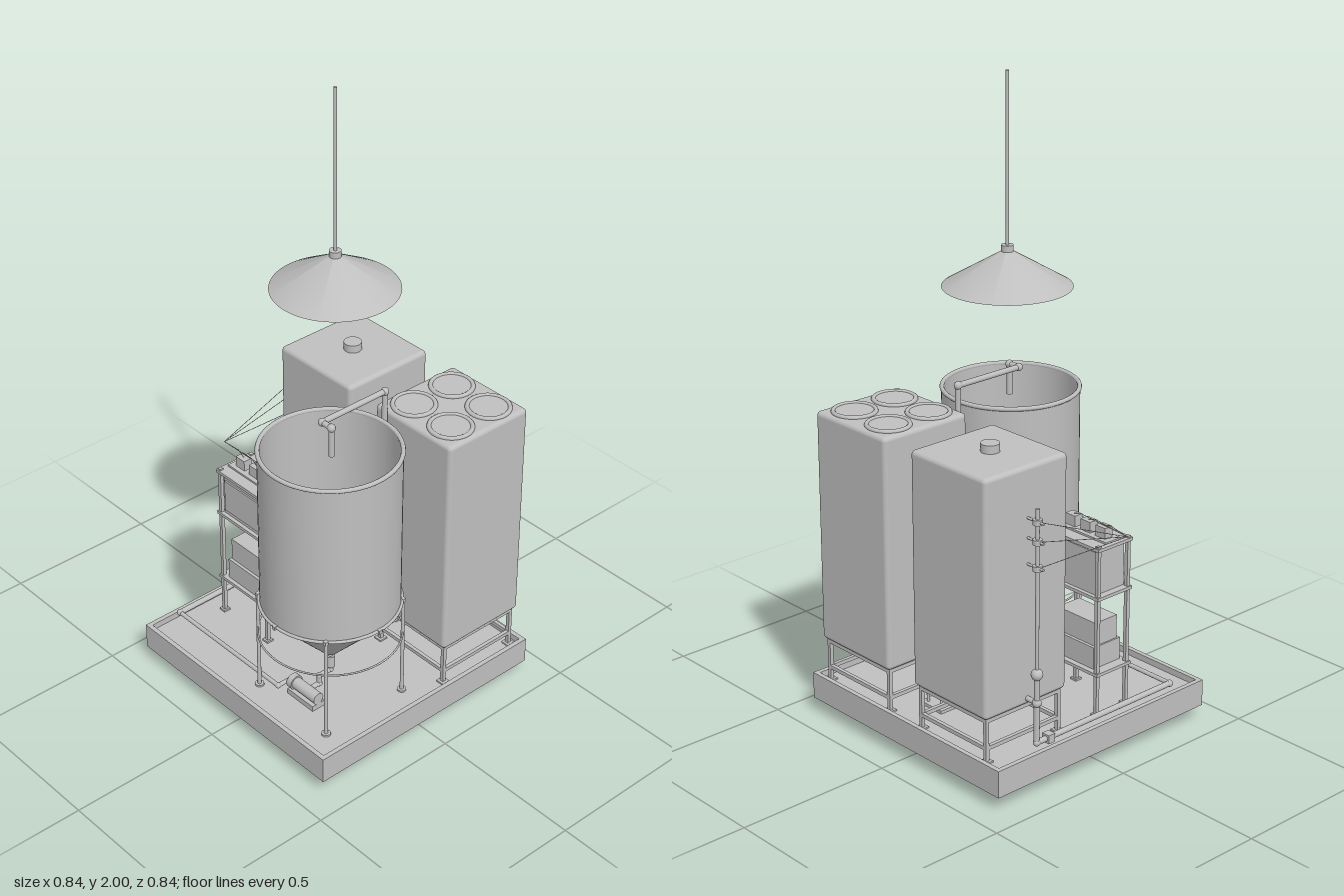
import * as THREE from 'three';
import { toCreasedNormals } from 'three/addons/utils/BufferGeometryUtils.js';
import { RoundedBoxGeometry } from 'three/addons/geometries/RoundedBoxGeometry.js';

const grey = new THREE.MeshStandardMaterial({ color: 0xbfbfbf, side: THREE.DoubleSide });
grey.name = 'plain grey';

const FLOOR = 0.11;

export function createModel() {
  const model = new THREE.Group();
  model.name = 'brewingPlant';

  const add = (name, geometry, x = 0, y = 0, z = 0) => {
    const mesh = new THREE.Mesh(geometry, grey);
    mesh.name = name;
    mesh.position.set(x, y, z);
    model.add(mesh);
    return mesh;
  };
  // box given by its lowest and highest corners
  const box = (name, x0, x1, y0, y1, z0, z1) =>
    add(name, new THREE.BoxGeometry(x1 - x0, y1 - y0, z1 - z0), (x0 + x1) / 2, (y0 + y1) / 2, (z0 + z1) / 2);
  // upright cylinder between two heights
  const post = (name, x, z, y0, y1, r, r2 = r, sides = 24) =>
    add(name, new THREE.CylinderGeometry(r2, r, y1 - y0, sides), x, (y0 + y1) / 2, z);
  const lathe = (name, points, x, z) =>
    add(name, toCreasedNormals(new THREE.LatheGeometry(points.map(p => new THREE.Vector2(...p)), 64), 0.5), x, 0, z);
  const ring = (name, R, r, x, y, z) =>
    add(name, new THREE.TorusGeometry(R, r, 10, 64).rotateX(Math.PI / 2), x, y, z);
  // straight pipe runs with a ball joint at every bend
  const pipe = (name, r, points, joint = 1.25) => {
    const v = points.map(p => new THREE.Vector3(...p));
    for (let i = 0; i + 1 < v.length; i++) {
      const dir = v[i + 1].clone().sub(v[i]);
      const mesh = add(name, new THREE.CylinderGeometry(r, r, dir.length(), 12));
      mesh.position.copy(v[i]).addScaledVector(dir, 0.5);
      mesh.quaternion.setFromUnitVectors(new THREE.Vector3(0, 1, 0), dir.normalize());
      if (i > 0) add(name + 'Elbow', new THREE.SphereGeometry(r * joint, 12, 8), ...points[i]);
    }
  };

  // base tray with raised rim, standing on two rows of blocks
  box('baseSlab', -0.42, 0.42, 0.045, FLOOR, -0.42, 0.42);
  for (const s of [-1, 1]) {
    box('trayRim', -0.42, 0.42, FLOOR, 0.13, s * 0.4125 - 0.0075, s * 0.4125 + 0.0075);
    box('trayRim', s * 0.4125 - 0.0075, s * 0.4125 + 0.0075, FLOOR, 0.13, -0.405, 0.405);
    for (let i = -2; i <= 2; i++)
      box('foot', i * 0.14 - 0.03, i * 0.14 + 0.03, 0, 0.045, s * 0.28 - 0.02, s * 0.28 + 0.02);
  }

  // two tall square tanks on open stands
  for (const [name, cx] of [['plainTank', -0.188], ['fourLidTank', 0.238]]) {
    const cz = -0.243, h = 0.14, t = 0.006;
    add(name, new RoundedBoxGeometry(0.315, 0.735, 0.315, 4, 0.014), cx, 0.6175, cz);
    for (const s of [-1, 1]) {
      for (const q of [-1, 1]) {
        box('standLeg', cx + s * h - t, cx + s * h + t, FLOOR, 0.26, cz + q * h - t, cz + q * h + t);
        box('standFoot', cx + s * h - 0.014, cx + s * h + 0.014, FLOOR, FLOOR + 0.005, cz + q * h - 0.014, cz + q * h + 0.014);
      }
      for (const y of [0.155, 0.242]) {
        box('standRail', cx - h, cx + h, y - t, y + t, cz + s * h - t, cz + s * h + t);
        box('standRail', cx + s * h - t, cx + s * h + t, y - t, y + t, cz - h, cz + h);
      }
    }
  }
  post('fillerCap', -0.19, -0.24, 0.98, 1.01, 0.028, 0.028, 32);
  for (const x of [0.161, 0.315]) for (const z of [-0.318, -0.165]) {
    ring('lidRing', 0.063, 0.007, x, 0.987, z);
    post('lid', x, z, 0.98, 0.989, 0.06, 0.06, 40);
  }

  // open silo with cone bottom, hoops and four legs
  const S = 0.17;
  lathe('siloShell', [[0.02, 0.25], [0.21, 0.455], [0.21, 0.985], [0.202, 0.985], [0.202, 0.46], [0.18, 0.432], [0, 0.432]], S, S);
  ring('siloRim', 0.208, 0.007, S, 0.985, S);
  ring('siloBelt', 0.213, 0.005, S, 0.455, S);
  ring('legHoop', 0.217, 0.003, S, 0.335, S);
  for (let i = 0; i < 8; i++) {
    const a = i * Math.PI / 4, x = S + 0.216 * Math.cos(a), z = S + 0.216 * Math.sin(a);
    if (i % 2) {
      post('siloLeg', x, z, FLOOR, 0.46, 0.006, 0.006, 12);
      post('siloLegFoot', x, z, FLOOR, FLOOR + 0.006, 0.014, 0.014, 16);
    }
    add('beltLug', new THREE.BoxGeometry(0.012, 0.012, 0.012), x, 0.455, z);
  }

  // silo outlet, valve and pump
  post('outletValve', S, S, 0.195, 0.235, 0.014);
  pipe('outletPipe', 0.008, [[S, 0.26, S], [S, 0.18, S], [S, 0.18, 0.215], [S, 0.15, 0.215], [S, 0.15, 0.26]]);
  add('pumpBody', new THREE.CylinderGeometry(0.019, 0.019, 0.11, 24).rotateZ(Math.PI / 2), 0.165, 0.146, 0.262);
  add('pumpHead', new THREE.CylinderGeometry(0.024, 0.024, 0.02, 24).rotateZ(Math.PI / 2), 0.11, 0.146, 0.262);
  box('pumpBase', 0.105, 0.22, FLOOR, 0.128, 0.238, 0.286);

  // floor pipe running from the pump to the riser
  const RX = -0.385, RZ = -0.24;
  pipe('floorPipe', 0.007, [[0.11, 0.143, 0.262], [0.09, 0.143, 0.262], [0.09, 0.143, 0.31], [RX, 0.143, 0.31]]);
  add('floorElbow', new THREE.SphereGeometry(0.011, 12, 8), RX, 0.143, 0.31);
  pipe('sidePipe', 0.009, [[RX, 0.143, 0.31], [RX, 0.143, RZ], [RX, 0.36, RZ]]);
  box('pipeCoupling', RX - 0.014, RX + 0.014, 0.13, 0.157, -0.205, -0.18);
  pipe('tankBranch', 0.008, [[RX, 0.27, RZ], [-0.34, 0.27, RZ]]);
  add('branchTee', new THREE.SphereGeometry(0.014, 12, 8), RX, 0.27, RZ);
  add('riserValve', new THREE.SphereGeometry(0.018, 16, 12), RX, 0.36, RZ);

  // riser pole with insulators and brackets
  post('riserPole', RX, RZ, 0.36, 0.87, 0.006, 0.006, 12);
  const wireEnd = [-0.4, 0.69, 0.1];
  for (const y of [0.69, 0.77, 0.83]) {
    post('insulator', RX, RZ, y - 0.008, y + 0.008, 0.014, 0.014, 16);
    pipe('poleBracket', 0.004, [[-0.41, y, RZ], [-0.345, y, RZ]]);
    pipe('supplyWire', 0.001, [[RX - 0.005, y, RZ], wireEnd]);
  }

  // equipment rack
  for (const x of [-0.337, -0.127]) for (const z of [0.047, 0.168]) {
    box('rackPost', x - 0.006, x + 0.006, FLOOR, 0.655, z - 0.006, z + 0.006);
    box('rackFoot', x - 0.012, x + 0.012, FLOOR, FLOOR + 0.006, z - 0.012, z + 0.012);
  }
  for (const y of [0.245, 0.49, 0.645])
    box('rackShelf', -0.348, -0.117, y - 0.005, y + 0.005, 0.037, 0.178);
  box('lowerCabinet', -0.315, -0.145, 0.25, 0.32, 0.055, 0.165);
  box('lowerCabinetTop', -0.31, -0.15, 0.32, 0.395, 0.065, 0.155);
  box('upperCabinet', -0.325, -0.135, 0.495, 0.63, 0.05, 0.165);
  box('upperCabinetDoor', -0.318, -0.142, 0.51, 0.618, 0.165, 0.17);
  box('terminalStrip', -0.335, -0.12, 0.65, 0.656, 0.08, 0.14);
  for (const x of [-0.295, -0.233, -0.17]) {
    box('terminalBlock', x - 0.02, x + 0.02, 0.65, 0.69, 0.095, 0.125);
    pipe('terminalWire', 0.001, [[x, 0.69, 0.11], [x - 0.03, 0.7, 0.106], wireEnd]);
  }

  // slim filter vessel between the two tanks
  const FX = 0.025, FZ = -0.24;
  box('vesselPlate', FX - 0.047, FX + 0.047, FLOOR, 0.12, FZ - 0.047, FZ + 0.047);
  for (const s of [-1, 1]) for (const q of [-1, 1])
    post('vesselLeg', FX + s * 0.03, FZ + q * 0.03, 0.12, 0.25, 0.005, 0.005, 10);
  post('filterVessel', FX, FZ, 0.24, 0.58, 0.046, 0.046, 32);
  post('vesselDome', FX, FZ, 0.58, 0.6, 0.046, 0.02, 32);
  post('vesselNipple', FX, FZ, 0.6, 0.62, 0.008);
  pipe('vesselLink', 0.008, [[FX, 0.5, FZ], [0.09, 0.5, FZ]]);

  // overhead transfer pipe from the lidded tank into the silo
  pipe('overheadPipe', 0.009, [[0.17, 0.96, 0.165], [0.17, 1.055, 0.165], [0.13, 1.055, 0.165],
    [0.13, 1.055, -0.077], [0.13, 0.34, -0.077], [0.13, 0.34, -0.1]], 1.4);

  // hanging lamp
  lathe('lampShade', [[0.19, 1.375], [0.018, 1.478]], 0, 0);
  post('lampCollar', 0, 0, 1.474, 1.497, 0.018);
  post('lampCord', 0, 0, 1.497, 2, 0.005, 0.005, 12);
  post('bulbNeck', 0, 0, 1.4, 1.48, 0.018);
  add('bulb', new THREE.SphereGeometry(0.036, 24, 16), 0, 1.387, 0);

  return model;
}
